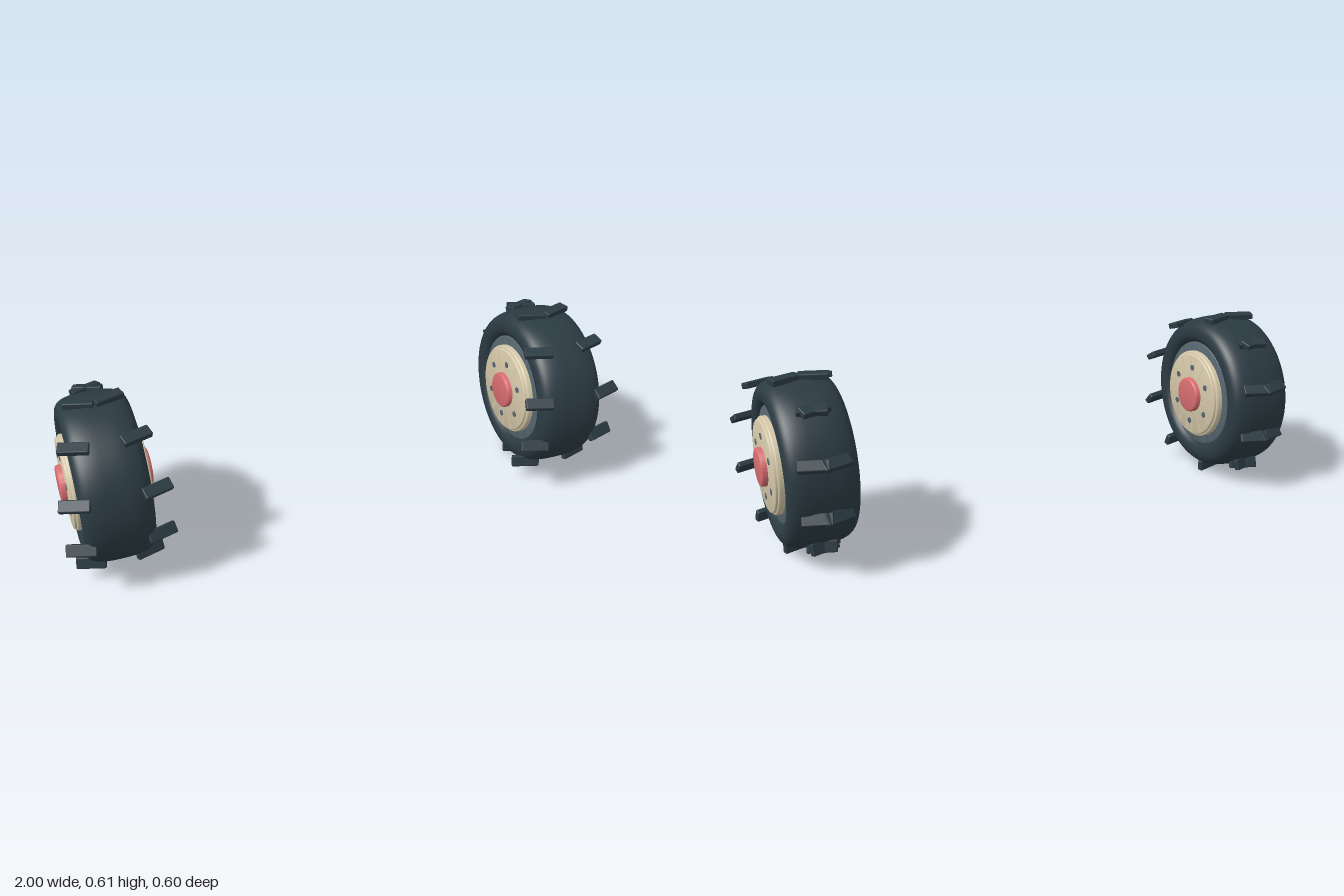
import * as THREE from 'three';
import { toCreasedNormals } from 'three/addons/utils/BufferGeometryUtils.js';
import { RoundedBoxGeometry } from 'three/addons/geometries/RoundedBoxGeometry.js';

const material = (name, color) => {
  const m = new THREE.MeshStandardMaterial({ color });
  m.name = name;
  return m;
};

const rubber = material('dark rubber', 0x2b3a42);
const steel = material('grey steel', 0x56656e);
const cream = material('cream paint', 0xd3c6a8);
const red = material('red cap', 0xd66c6f);

// Turns a half profile of [radius, x] points, from the rim to the middle, into a closed wheel part on the x axis.
function turned(half, smooth) {
  let pts = half.map(([r, x]) => new THREE.Vector2(r, x));
  if (smooth) pts = new THREE.SplineCurve(pts).getPoints(28);
  const lower = pts.map((p) => new THREE.Vector2(p.x, -p.y));
  const upper = pts.slice().reverse();
  if (upper[0].y < 1e-6) upper.shift();
  const geometry = new THREE.LatheGeometry([...lower, ...upper], 72);
  geometry.rotateZ(-Math.PI / 2);
  return smooth ? geometry : toCreasedNormals(geometry, 0.6);
}

// Rounded shoulder from the flat face to the outer wall of a disc
function disc(radius, halfWidth, bevel, inner = []) {
  const pts = [...inner];
  for (let i = 0; i <= 5; i++) {
    const a = (i / 5) * Math.PI / 2;
    pts.push([radius - bevel + bevel * Math.sin(a), halfWidth - bevel + bevel * Math.cos(a)]);
  }
  pts.push([radius, 0]);
  return turned(pts, false);
}

const tireGeometry = turned([
  [0.192, 0.088], [0.201, 0.104], [0.215, 0.115], [0.235, 0.118], [0.256, 0.112],
  [0.271, 0.097], [0.280, 0.073], [0.285, 0.04], [0.286, 0],
], true);
const rimGeometry = disc(0.197, 0.104, 0.006, [[0, 0.104]]);
const flangeGeometry = disc(0.164, 0.125, 0.007, [[0, 0.125]]);
const plateGeometry = disc(0.156, 0.134, 0.006, [[0, 0.134]]);
const capGeometry = disc(0.065, 0.154, 0.009, [[0, 0.154]]);
const boltGeometry = new THREE.CylinderGeometry(0.011, 0.011, 0.006, 16).rotateZ(Math.PI / 2);
const lugGeometry = new RoundedBoxGeometry(0.1, 0.021, 0.041, 2, 0.004);

function createWheel(name) {
  const wheel = new THREE.Group();
  wheel.name = name;
  const add = (part, geometry, mat, parent = wheel) => {
    const mesh = new THREE.Mesh(geometry, mat);
    mesh.name = part;
    parent.add(mesh);
    return mesh;
  };

  add('tire', tireGeometry, rubber);
  add('rim', rimGeometry, steel);
  add('hubFlange', flangeGeometry, cream);
  add('hubPlate', plateGeometry, cream);
  add('hubCap', capGeometry, red);

  for (const side of [-1, 1]) {
    // Six bolts on each hub face
    for (let i = 0; i < 6; i++) {
      const a = (i * Math.PI) / 3;
      add('bolt', boltGeometry, steel).position.set(side * 0.133, 0.106 * Math.cos(a), 0.106 * Math.sin(a));
    }
    // Ten lugs per row; the whole row is yawed, so it splays at the front and crosses at the back
    const row = new THREE.Group();
    row.name = side > 0 ? 'leftTreadLugs' : 'rightTreadLugs';
    row.rotation.y = side * 0.306;
    for (let i = 0; i < 10; i++) {
      const a = (i * Math.PI) / 5;
      const lug = add('treadLug', lugGeometry, rubber, row);
      lug.position.set(side * 0.05, 0.291 * Math.cos(a), 0.291 * Math.sin(a));
      lug.rotation.x = a / 2;
    }
    wheel.add(row);
  }
  return wheel;
}

export function createModel() {
  const model = new THREE.Group();
  model.name = 'wheelPair';
  for (const side of [-1, 1]) {
    const wheel = createWheel(side > 0 ? 'leftWheel' : 'rightWheel');
    wheel.position.set(side * 0.815, 0.3115, 0.0143);
    model.add(wheel);
  }
  return model;
}
